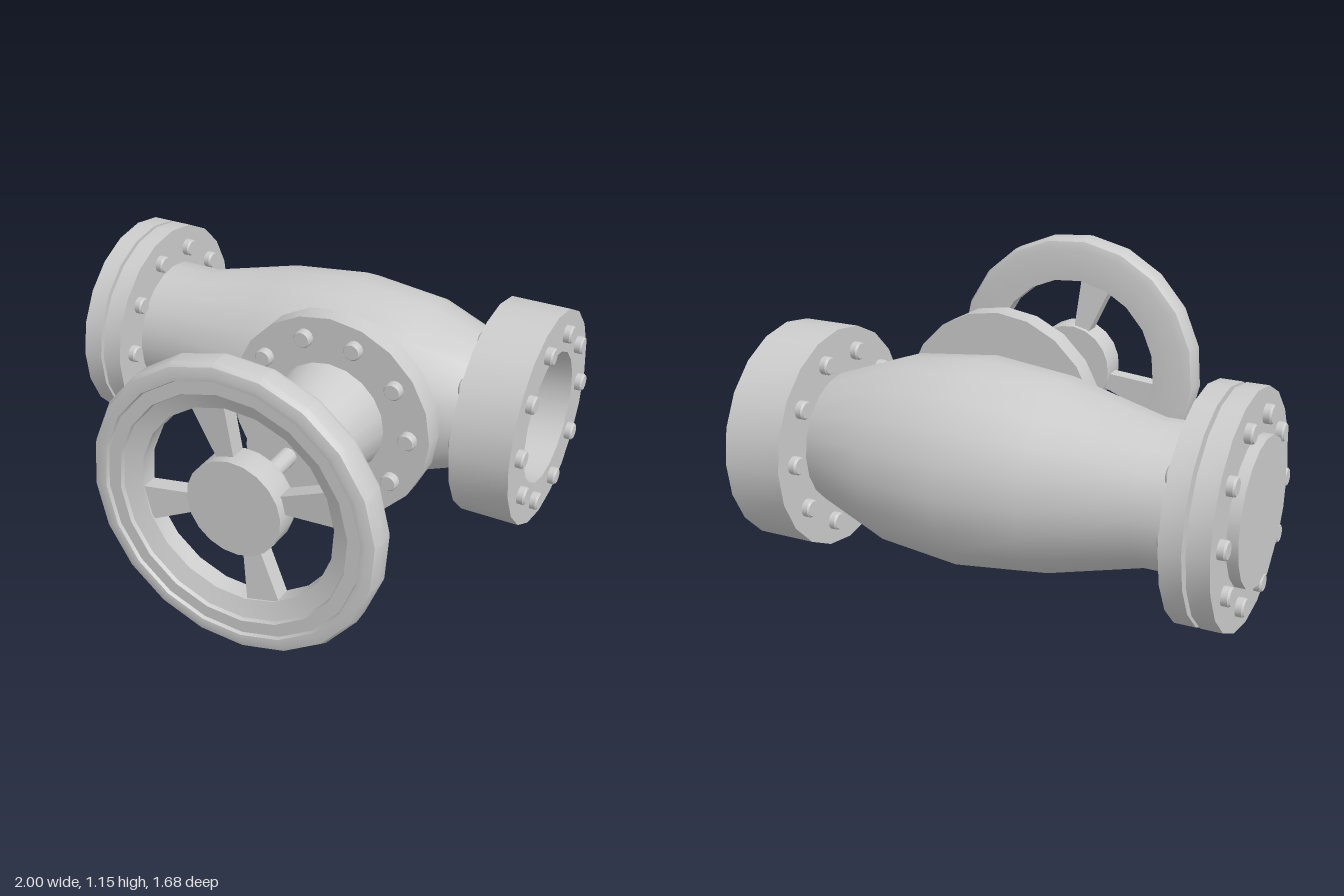
import * as THREE from 'three';
import { toCreasedNormals } from 'three/addons/utils/BufferGeometryUtils.js';

const SIDES = 20;

export function createModel() {
  const model = new THREE.Group();
  const material = new THREE.MeshStandardMaterial({ color: 0xcccccc });

  function add(parent, name, geometry) {
    const mesh = new THREE.Mesh(toCreasedNormals(geometry, 0.5), material);
    mesh.name = name;
    parent.add(mesh);
    return mesh;
  }
  function group(name, x, y, z) {
    const g = new THREE.Group();
    g.name = name;
    g.position.set(x, y, z);
    model.add(g);
    return g;
  }
  // Turned parts: profile points are [radius, distance along axis]
  const turned = (points, axis) => {
    const g = new THREE.LatheGeometry(points.map(p => new THREE.Vector2(...p)), SIDES);
    return axis === 'x' ? g.rotateZ(-Math.PI / 2) : g.rotateX(Math.PI / 2);
  };
  const disc = (r, a, b, axis) => turned([[0, a], [r, a], [r, b], [0, b]], axis);

  // Ring of ten bolt heads; dir is the way the heads point along the axis
  function boltRing(parent, name, at, dir, axis) {
    const ring = new THREE.Group();
    ring.name = name;
    for (let i = 0; i < 10; i++) {
      const a = i * Math.PI / 5;
      const c = 0.342 * Math.cos(a), s = 0.342 * Math.sin(a);
      const head = new THREE.LatheGeometry(
        [[0, -0.01], [0.036, -0.01], [0.036, 0.024], [0.03, 0.031], [0, 0.031]]
          .map(p => new THREE.Vector2(...p)), 14);
      if (axis === 'x') head.rotateZ(-dir * Math.PI / 2).translate(at, s, c);
      else head.rotateX(dir * Math.PI / 2).translate(c, s, at);
      add(ring, 'bolt', head);
    }
    parent.add(ring);
  }

  // Main pipe along x, bulging in the middle
  const pipe = group('pipe', 0, 0.545, -0.4);
  add(pipe, 'body', turned([
    [0, -0.997], [0.275, -0.997], [0.275, -0.6], [0.37, -0.22], [0.405, 0.1],
    [0.37, 0.43], [0.265, 0.72], [0.248, 0.765], [0, 0.765],
  ], 'x'));

  // Pair of flanges on the closed end
  add(pipe, 'endFlange', disc(0.44, -0.955, -0.872, 'x'));
  add(pipe, 'bodyFlange', disc(0.44, -0.857, -0.775, 'x'));
  boltRing(pipe, 'endFlangeBolts', -0.955, -1, 'x');
  boltRing(pipe, 'bodyFlangeBolts', -0.775, 1, 'x');

  // Thick flange around the open end
  add(pipe, 'openFlange', turned([
    [0.25, 0.73], [0.44, 0.73], [0.44, 0.97], [0.27, 0.97], [0.27, 0.75], [0.25, 0.73],
  ], 'x'));
  boltRing(pipe, 'openFlangeOuterBolts', 0.97, 1, 'x');
  boltRing(pipe, 'openFlangeInnerBolts', 0.73, -1, 'x');

  // Bonnet on the front side of the body
  const bonnet = group('bonnet', 0.24, 0.583, 0);
  add(bonnet, 'neck', disc(0.14, -0.2, 0, 'z'));
  add(bonnet, 'bonnetFlange', disc(0.427, -0.01, 0.08, 'z'));
  boltRing(bonnet, 'bonnetBolts', 0.08, 1, 'z');
  add(bonnet, 'bonnetCone', turned([[0, 0.07], [0.238, 0.07], [0.18, 0.4], [0, 0.4]], 'z'));
  add(bonnet, 'stem', disc(0.035, 0.38, 0.72, 'z'));

  // Hand wheel with stepped rim, hub and four flared spokes
  const wheel = group('handWheel', 0.24, 0.583, 0);
  wheel.rotation.z = 0.086;
  add(wheel, 'rim', turned([
    [0.39, 0.712], [0.53, 0.71], [0.565, 0.722], [0.577, 0.745], [0.577, 0.81],
    [0.565, 0.832], [0.535, 0.84], [0.515, 0.838], [0.51, 0.825], [0.46, 0.825],
    [0.455, 0.81], [0.39, 0.785], [0.39, 0.712],
  ], 'z'));
  add(wheel, 'hub', turned([[0, 0.685], [0.185, 0.685], [0.19, 0.7], [0.19, 0.8], [0, 0.8]], 'z'));

  const outline = new THREE.Shape([
    [0.15, -0.03], [0.4, -0.07], [0.4, 0.07], [0.15, 0.03],
  ].map(p => new THREE.Vector2(...p)));
  for (let i = 0; i < 4; i++) {
    const spoke = new THREE.ExtrudeGeometry(outline, { depth: 0.065, bevelEnabled: false });
    spoke.translate(0, 0, 0.695);
    // Back and front of each spoke lean toward the front at the rim
    const p = spoke.attributes.position;
    for (let k = 0; k < p.count; k++) if (p.getX(k) > 0.3) p.setZ(k, p.getZ(k) + 0.02);
    add(wheel, 'spoke', spoke).rotation.z = 0.19 + i * Math.PI / 2;
  }

  return model;
}
